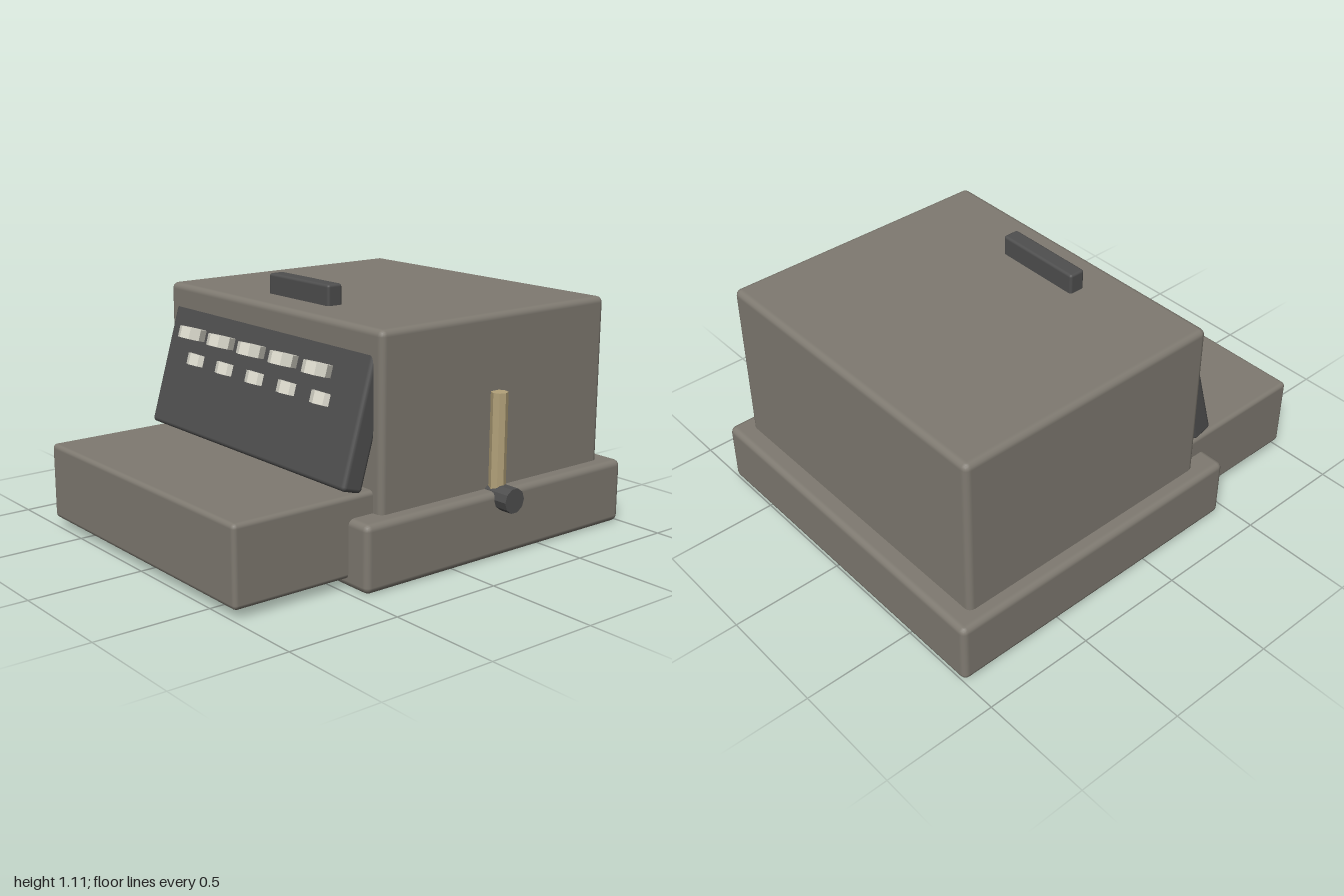
import * as THREE from 'three';
import { RoundedBoxGeometry } from 'three/addons/geometries/RoundedBoxGeometry.js';

const TILT = -0.285; // lean of the control panel
const CENTRE = -0.033; // x of the cabinet's middle

export function createModel() {
  const model = new THREE.Group();
  const paint = (color, flatShading = false) => new THREE.MeshStandardMaterial({ color, flatShading });
  const casing = paint(0x7f7a71);
  const dark = paint(0x4f4f4f);
  const darkFlat = paint(0x4f4f4f, true);
  const cream = paint(0xdcdacd, true);
  const brass = paint(0xb3a27a, true);

  const add = (name, geometry, material, x, y, z) => {
    const mesh = new THREE.Mesh(geometry, material);
    mesh.name = name;
    mesh.position.set(x, y, z);
    model.add(mesh);
    return mesh;
  };

  // Softened box given by its extents along each axis
  const block = (name, [x0, x1], [y0, y1], [z0, z1], bevel, material) =>
    add(name, new RoundedBoxGeometry(x1 - x0, y1 - y0, z1 - z0, 2, bevel), material,
      (x0 + x1) / 2, (y0 + y1) / 2, (z0 + z1) / 2);

  // Cabinet
  block('base', [-0.843, 0.778], [0, 0.283], [-1, 0.463], 0.028, casing);
  block('body', [-0.778, 0.712], [0.1, 1.016], [-0.915, 0.34], 0.028, casing);
  block('frontTray', [-0.73, 0.665], [0.038, 0.375], [0.28, 1], 0.02, casing);
  block('topHandle', [-0.241, 0.175], [0.98, 1.105], [0.1, 0.175], 0.012, dark);

  // Leaning control panel
  const panel = add('controlPanel', new RoundedBoxGeometry(1.395, 0.6, 0.1, 2, 0.018), dark, CENTRE, 0.672, 0.358);
  panel.rotation.x = TILT;

  // Two rows of octagonal keys following the panel's lean
  const key = new THREE.CylinderGeometry(0.06, 0.06, 0.05, 8);
  for (const [row, y, z] of [['upperKey', 0.83, 0.421], ['lowerKey', 0.702, 0.381]]) {
    for (let i = -2; i <= 2; i++) {
      add(row, key, cream, CENTRE + i * 0.224, y, z).rotation.x = TILT;
    }
  }

  // Side lever on its pivot
  add('leverRod', new THREE.CylinderGeometry(0.036, 0.036, 0.425, 8), brass, 0.741, 0.483, -0.265);
  add('leverPivot', new THREE.CylinderGeometry(0.054, 0.054, 0.135, 10), darkFlat, 0.774, 0.254, -0.268)
    .rotation.z = Math.PI / 2;

  return model;
}
